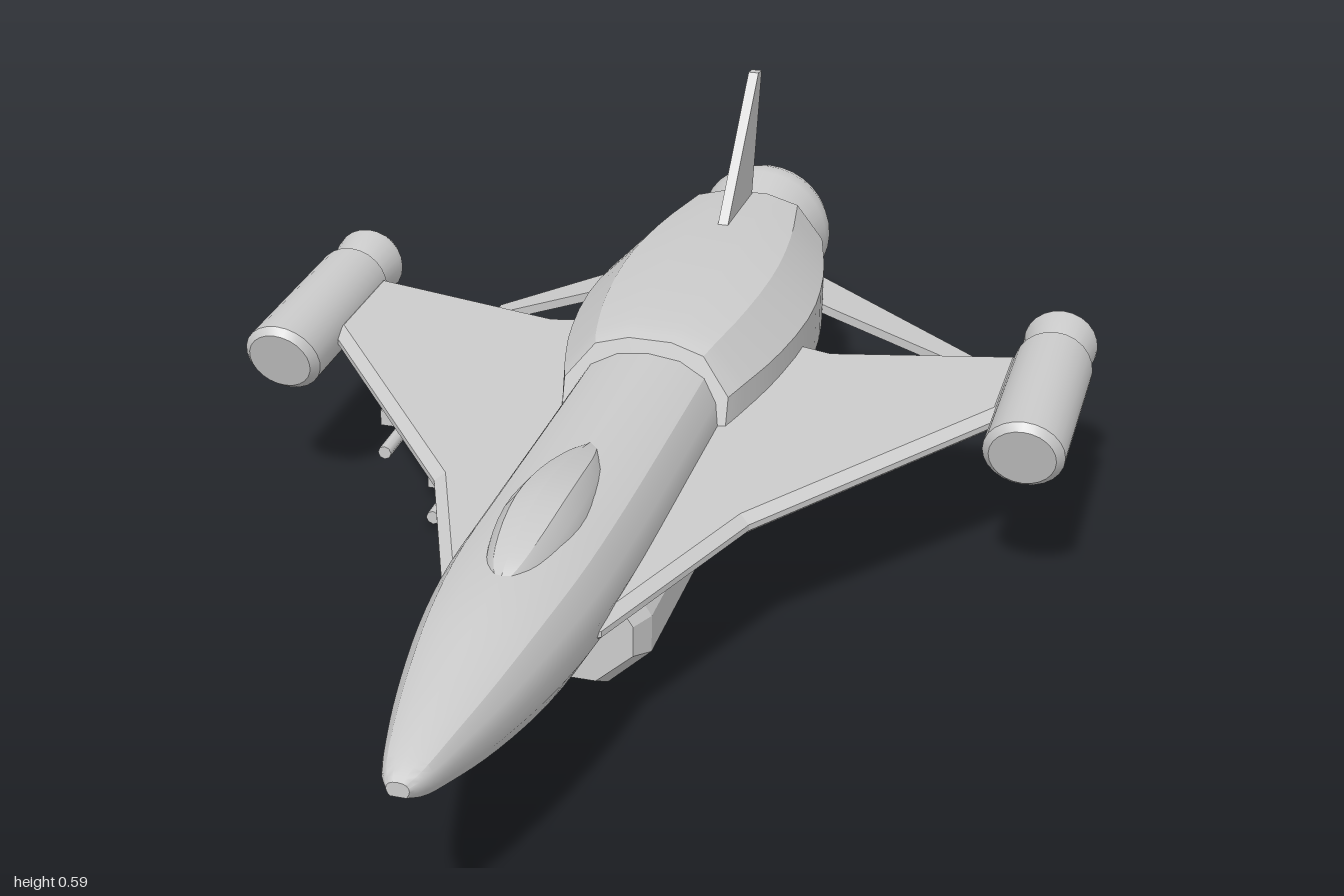
import * as THREE from 'three';
import { toCreasedNormals } from 'three/addons/utils/BufferGeometryUtils.js';

const grey = new THREE.MeshStandardMaterial({ color: 0xcccccc });

function add(group, name, geometry, x = 0, y = 0, z = 0) {
  const mesh = new THREE.Mesh(geometry, grey);
  mesh.name = name;
  mesh.position.set(x, y, z);
  group.add(mesh);
  return mesh;
}

// Skin a list of equal rings running from front (+z) to back, closed at both ends.
function loft(rings, crease = 0.5) {
  const n = rings[0].length, index = [];
  rings.slice(1).forEach((_, i) => {
    for (let j = 0; j < n; j++) {
      const a = i * n + j, b = i * n + (j + 1) % n;
      index.push(a, a + n, b, b, a + n, b + n);
    }
  });
  const last = (rings.length - 1) * n;
  for (let j = 1; j < n - 1; j++) index.push(0, j, j + 1, last, last + j + 1, last + j);
  const g = new THREE.BufferGeometry();
  g.setAttribute('position', new THREE.Float32BufferAttribute(rings.flat(2), 3));
  g.setIndex(index);
  return toCreasedNormals(g, crease);
}

// Mirror a half profile [x 0..1, y 0..1], listed bottom to top, into a ring
// of half width w between heights b and t. lean slides the ring's upper part in z.
function ring(half, [z, w, b, t], lean = 0) {
  const right = half.map(([x, v]) => [x * w, b + v * (t - b), z + lean * v]);
  const left = right.filter(p => p[0] > 1e-6).reverse().map(([x, y, d]) => [-x, y, d]);
  return [...right, ...left];
}

// Smooth the stations [z, w, b, t] along the body.
function smooth(stations, count) {
  const a = new THREE.CatmullRomCurve3(stations.map(s => new THREE.Vector3(s[0], s[1], 0)));
  const c = new THREE.CatmullRomCurve3(stations.map(s => new THREE.Vector3(s[0], s[2], s[3])));
  return Array.from({ length: count + 1 }, (_, i) => {
    const p = a.getPoint(i / count), q = c.getPoint(i / count);
    return [p.x, p.y, q.y, q.z];
  });
}

// Flat plate from [x, y] outline points, centred on its thickness.
function plate(points, depth) {
  const shape = new THREE.Shape(points.map(p => new THREE.Vector2(...p)));
  return new THREE.ExtrudeGeometry(shape, { depth, bevelEnabled: false }).translate(0, 0, -depth / 2);
}

// Round body lying along z, from [radius, z] points listed back to front.
function turned(points, sides = 24) {
  const profile = points.map(p => new THREE.Vector2(...p));
  return toCreasedNormals(new THREE.LatheGeometry(profile, sides).rotateX(Math.PI / 2), 0.5);
}

export function createModel() {
  const model = new THREE.Group();
  model.name = 'spaceFighter';

  // Forward fuselage with a flat belly and rounded back
  const noseHalf = [[0.7, 0], [0.9, 0.22], [1, 0.47], [0.94, 0.68], [0.76, 0.86], [0.42, 0.97], [0, 1]];
  const noseStations = smooth([
    [1, 0.016, 0.278, 0.3], [0.97, 0.033, 0.264, 0.312], [0.9, 0.054, 0.245, 0.328],
    [0.8, 0.078, 0.222, 0.344], [0.65, 0.105, 0.197, 0.362], [0.5, 0.121, 0.183, 0.367],
    [0.3, 0.125, 0.173, 0.363], [0, 0.125, 0.167, 0.36], [-0.3, 0.125, 0.162, 0.36],
  ], 28);
  add(model, 'noseFuselage', loft(noseStations.map(s => ring(noseHalf, s))));

  // Cockpit canopy
  const canopyHalf = [[1, 0], [0.97, 0.35], [0.82, 0.68], [0.55, 0.9], [0, 1]];
  const canopyStations = smooth([
    [0.59, 0.012, 0.33, 0.362], [0.56, 0.036, 0.32, 0.378], [0.5, 0.055, 0.31, 0.395],
    [0.41, 0.065, 0.31, 0.405], [0.32, 0.06, 0.31, 0.398], [0.22, 0.042, 0.31, 0.377],
    [0.14, 0.012, 0.31, 0.356],
  ], 16);
  add(model, 'canopy', loft(canopyStations.map(s => ring(canopyHalf, s))));

  // Faceted engine housing with a raked front edge
  const rearHalf = [[0.3, 0], [0.67, 0.02], [1, 0.28], [1, 0.66], [0.66, 0.93], [0.26, 1]];
  const rearStations = smooth([
    [-0.1, 0.137, 0.167, 0.381], [-0.16, 0.15, 0.162, 0.388], [-0.3, 0.178, 0.15, 0.394],
    [-0.5, 0.195, 0.143, 0.394], [-0.67, 0.178, 0.146, 0.388], [-0.83, 0.14, 0.154, 0.379],
  ], 14);
  add(model, 'engineHousing', loft(rearStations.map((s, i) =>
    ring(rearHalf, s, -0.07 * Math.max(0, 1 - i / 7))), 0.4));

  // Main nozzle
  add(model, 'mainNozzle', turned([
    [0, -1], [0.116, -1], [0.124, -0.975], [0.122, -0.95], [0.094, -0.83], [0.09, -0.79], [0, -0.79],
  ], 32), 0, 0.25, 0);

  // Belly pod with chamfered corners and upswept tail
  const podHalf = [[0.45, 0], [1, 0.36], [1, 0.7], [0.72, 1]];
  add(model, 'bellyPod', loft([
    [0.3, 0.107, 0.03, 0.18], [0.26, 0.125, 0.006, 0.19], [-0.26, 0.125, 0.006, 0.19],
    [-0.43, 0.1, 0.07, 0.185], [-0.47, 0.09, 0.145, 0.18],
  ].map(s => ring(podHalf, s)), 0.2));

  // Tail fin
  const fin = plate([[0.64, 0.37], [0.82, 0.37], [0.876, 0.596], [0.85, 0.6], [0.64, 0.385]], 0.018);
  add(model, 'tailFin', fin.rotateY(Math.PI / 2));

  for (const s of [1, -1]) {
    const side = new THREE.Group();
    side.name = s > 0 ? 'leftSide' : 'rightSide';
    model.add(side);

    // Wing with bevelled edges, sheared upward toward the tip
    const outline = [[0.06, 0.52], [0.118, 0.5], [0.25, 0.17], [0.57, -0.22], [0.57, -0.435],
      [0.25, -0.435], [0.19, -0.465], [0.06, -0.465]];
    const wing = new THREE.ExtrudeGeometry(
      new THREE.Shape(outline.map(([x, z]) => new THREE.Vector2(x * s, z))),
      { depth: 0.01, bevelThickness: 0.014, bevelSize: 0.018, bevelOffset: -0.018, bevelSegments: 1 });
    wing.rotateX(Math.PI / 2);
    const p = wing.attributes.position;
    for (let i = 0; i < p.count; i++) p.setY(i, p.getY(i) + 0.249 + 0.113 * (Math.abs(p.getX(i)) - 0.13));
    wing.computeVertexNormals();
    add(side, 'wing', wing);

    // Wing-tip engine, its front face raked back toward the bottom
    const pod = new THREE.LatheGeometry([
      [0, -0.44], [0.06, -0.44], [0.065, -0.432], [0.065, -0.115], [0.053, -0.1], [0, -0.1],
    ].map(q => new THREE.Vector2(...q)), 24).rotateX(Math.PI / 2);
    const q = pod.attributes.position;
    for (let i = 0; i < q.count; i++) if (q.getZ(i) > -0.2) q.setZ(i, q.getZ(i) + 0.32 * q.getY(i));
    add(side, 'tipEngine', toCreasedNormals(pod, 0.5), 0.617 * s, 0.293, 0);
    add(side, 'tipNozzle', turned([
      [0, -0.53], [0.056, -0.53], [0.062, -0.518], [0.061, -0.505], [0.048, -0.44], [0, -0.43],
    ]), 0.617 * s, 0.296, 0);

    // Drooping tail plane
    const tail = plate([[0, 0.68], [0.07, 0.69], [0.36, 0.742], [0.36, 0.785], [0, 0.785]]
      .map(([x, z]) => [x * s, -z]), 0.016).rotateX(Math.PI / 2);
    add(side, 'tailPlane', tail, 0.13 * s, 0.25, 0).rotation.z = -0.41 * s;
  }

  // Paired guns under the right wing
  for (const [x, y, front] of [[-0.385, 0.245, 0.07], [-0.25, 0.228, 0.22]]) {
    const gun = new THREE.Group();
    gun.name = 'wingGun';
    gun.position.set(x, y, front);
    model.add(gun);
    add(gun, 'gunBody', new THREE.BoxGeometry(0.03, 0.026, 0.24), -0.018, 0, -0.23);
    add(gun, 'gunMount', new THREE.BoxGeometry(0.03, 0.012, 0.2), 0, 0.006, -0.23);
    const barrel = new THREE.CylinderGeometry(0.011, 0.011, 0.3, 8).rotateX(Math.PI / 2);
    add(gun, 'gunBarrel', barrel, 0.015, -0.002, -0.15);
  }

  return model;
}
